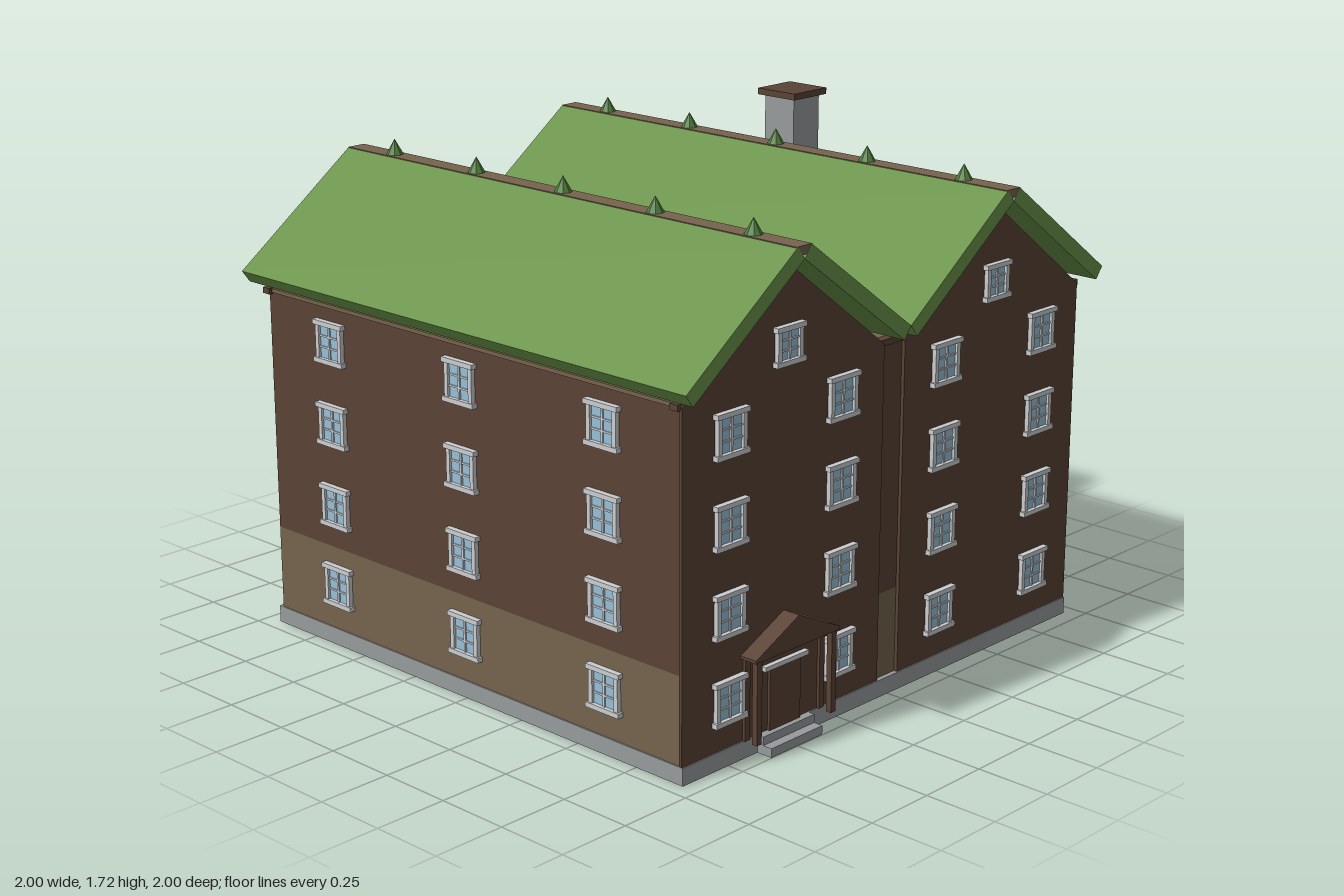
import * as THREE from 'three';

const mat = (name, color) => Object.assign(new THREE.MeshStandardMaterial({ color }), { name });

export function createModel() {
  const model = new THREE.Group();
  model.name = 'house';
  const brown = mat('brown wall', 0x5a4335);
  const tan = mat('tan plaster', 0x74644d);
  const green = mat('roof green', 0x6a934a);
  const darkGreen = mat('finial green', 0x4c7a38);
  const grey = mat('stone grey', 0x989b9d);
  const white = mat('frame white', 0xcccdd0);
  const glassBlue = mat('glass blue', 0x98c0d8);
  const ridgeBrown = mat('ridge brown', 0x77634f);

  // Box given by its limits on each axis
  function box(name, m, x0, x1, y0, y1, z0, z1, parent = model) {
    const mesh = new THREE.Mesh(new THREE.BoxGeometry(x1 - x0, y1 - y0, z1 - z0), m);
    mesh.position.set((x0 + x1) / 2, (y0 + y1) / 2, (z0 + z1) / 2);
    mesh.name = name;
    parent.add(mesh);
    return mesh;
  }
  // Outline in x and y, extruded from z0 to z1
  function prism(name, m, pts, z0, z1) {
    const shape = new THREE.Shape(pts.map(([x, y]) => new THREE.Vector2(x, y)));
    const geo = new THREE.ExtrudeGeometry(shape, { depth: z1 - z0, bevelEnabled: false });
    const mesh = new THREE.Mesh(geo, m);
    mesh.position.z = z0;
    mesh.name = name;
    model.add(mesh);
    return mesh;
  }

  // Plinth and main block, plastered below
  box('plinth', grey, -0.95, 0.95, 0, 0.058, -0.942, 0.942);
  box('lowerWalls', tan, -0.945, 0.945, 0.058, 0.345, -0.928, 0.926);
  box('upperWalls', brown, -0.945, 0.945, 0.345, 1.17, -0.928, 0.926);
  box('sideCornice', tan, -0.95, 0.95, 1.165, 1.178, -0.91, 0.9);
  box('backCornice', brown, -0.962, 0.962, 1.16, 1.18, -0.942, -0.91);
  box('frontCornice', brown, -0.962, 0.962, 1.16, 1.18, 0.9, 0.932);

  // Twin gables: front facades, attics, roof slabs, ridges and finials
  for (const c of [-0.5, 0.5]) {
    const gable = [[c + 0.45, 1.17], [c, 1.51], [c - 0.45, 1.17]];
    prism('attic', brown, gable, -0.928, 0.926);
    prism('frontFacade', brown, [[c - 0.45, 0.058], [c + 0.45, 0.058], ...gable], 0.926, 0.938);
    prism('roofSlab', green, [[c, 1.533], [c + 0.47, 1.19], [c + 0.5, 1.23], [c + 0.03, 1.573]], -1, 1);
    prism('roofSlab', green, [[c, 1.533], [c - 0.03, 1.573], [c - 0.5, 1.23], [c - 0.47, 1.19]], -1, 1);
    box('ridgeBeam', ridgeBrown, c - 0.034, c + 0.034, 1.545, 1.573, -0.998, 0.998);
    for (const z of [-0.8, -0.4, 0, 0.4, 0.8]) {
      const geo = new THREE.ConeGeometry(0.031, 0.055, 8).toNonIndexed();
      geo.computeVertexNormals();
      const finial = new THREE.Mesh(geo, darkGreen);
      finial.position.set(c, 1.597, z);
      finial.name = 'finial';
      model.add(finial);
    }
  }

  // Window facing +z, turned into place by ry
  function addWindow(x, y, z, ry, w = 0.124, h = 0.142) {
    const g = new THREE.Group();
    g.name = 'window';
    g.position.set(x, y, z);
    g.rotation.y = ry;
    const a = w / 2, b = h / 2, t = 0.016;
    box('glass', glassBlue, -a + 0.005, a - 0.005, -b + 0.005, b - 0.005, -0.002, 0.006, g);
    for (const s of [-1, 1]) {
      const px = s * (a - t / 2), py = s * (b - t / 2);
      box('frameSide', white, px - t / 2, px + t / 2, -b, b, 0, 0.015, g);
      box('frameRail', white, -a - 0.008, a + 0.008, py - t / 2, py + t / 2, 0, 0.02, g);
      const my = s * h * 0.13;
      box('glazingBar', white, -a, a, my - 0.003, my + 0.003, 0, 0.01, g);
    }
    box('mullion', white, -0.004, 0.004, -b, b, 0, 0.011, g);
    model.add(g);
  }
  for (const y of [0.214, 0.492, 0.771, 1.05]) {
    for (const x of [-0.75, -0.25, 0.25, 0.75]) addWindow(x, y, 0.938, 0);
    for (const p of [-0.62, 0, 0.62]) {
      addWindow(p, y, -0.928, Math.PI);
      addWindow(0.945, y, p, Math.PI / 2);
      addWindow(-0.945, y, p, -Math.PI / 2);
    }
  }
  for (const x of [-0.5, 0.5]) {
    addWindow(x, 1.266, 0.938, 0, 0.112, 0.122);
    addWindow(x, 1.266, -0.928, Math.PI, 0.112, 0.122);
  }

  // Chimney
  box('chimney', grey, 0.632, 0.762, 1.18, 1.7, -0.166, -0.036);
  box('chimneyCap', brown, 0.614, 0.78, 1.7, 1.722, -0.184, -0.018);

  // Porch with door and steps
  for (const x of [-0.673, -0.332]) {
    box('porchPost', brown, x - 0.011, x + 0.011, 0.058, 0.33, 0.976, 0.996);
    box('wallPost', brown, x - 0.011, x + 0.011, 0.058, 0.33, 0.936, 0.948);
  }
  prism('porchRoof', brown, [[-0.695, 0.328], [-0.31, 0.328], [-0.31, 0.338], [-0.502, 0.43], [-0.695, 0.338]], 0.936, 1);
  box('door', brown, -0.572, -0.432, 0.058, 0.258, 0.936, 0.948);
  box('doorLintel', white, -0.6, -0.402, 0.26, 0.275, 0.936, 0.955);
  box('lowerStep', grey, -0.62, -0.384, 0, 0.03, 0.94, 0.998);
  box('upperStep', grey, -0.62, -0.384, 0.03, 0.058, 0.94, 0.965);

  return model;
}
